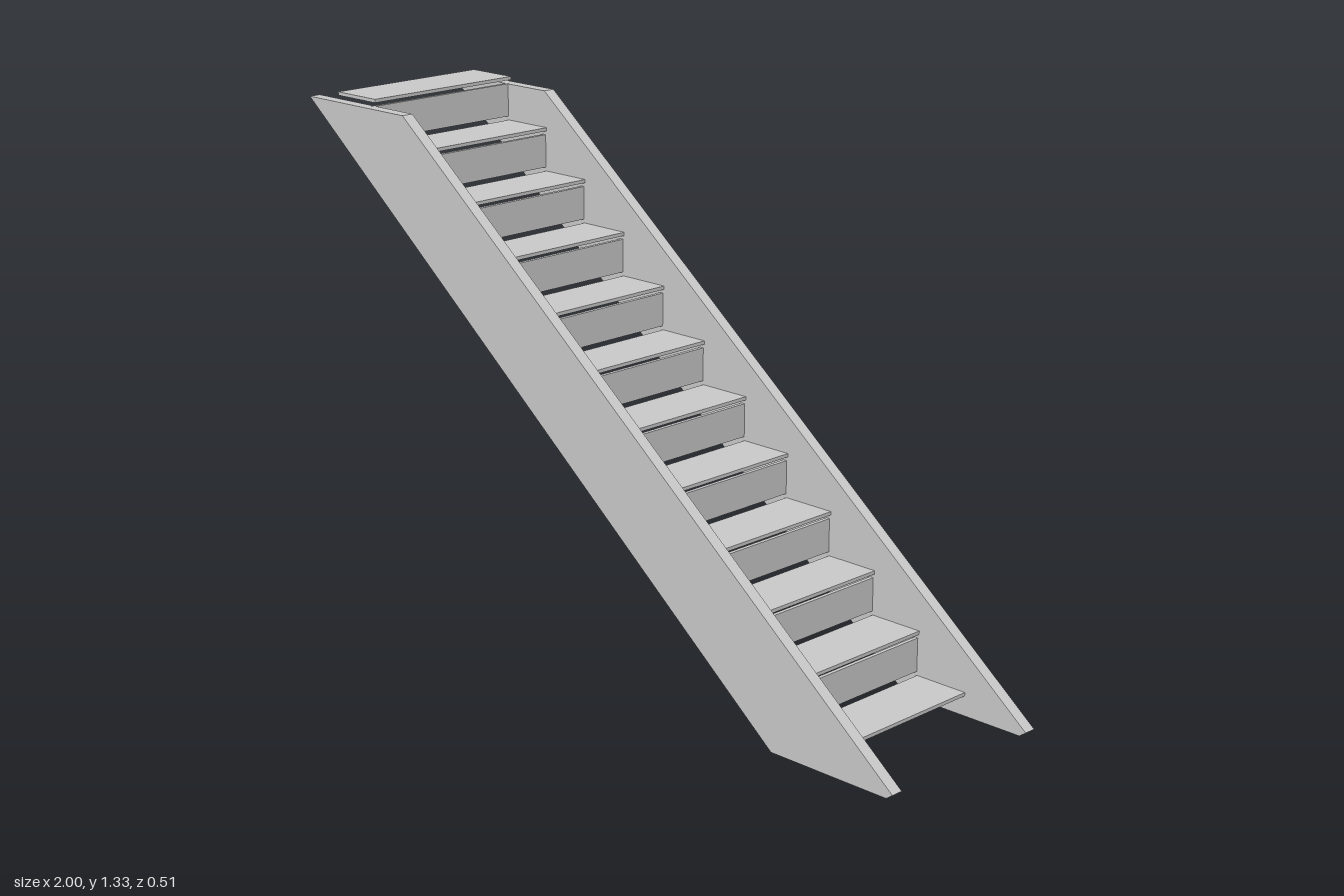
import * as THREE from 'three';

const mat = new THREE.MeshStandardMaterial({ color: 0xcccccc, flatShading: true });

const RISE = 0.1155, RUN = 0.144;        // step pitch
const TREADS = 12, DEPTH = 0.147, WIDTH = 0.46, THICK = 0.009;
const FIRST_NOSE = 0.817, FIRST_TOP = 0.06;
const OUTER = 0.255, BOARD = 0.032;      // side board placement
const GAP = 0.01;                        // open slit above and below each riser

function box(name, w, h, d, x, y) {
  const mesh = new THREE.Mesh(new THREE.BoxGeometry(w, h, d), mat);
  mesh.name = name;
  mesh.position.set(x, y, 0);
  return mesh;
}

export function createModel() {
  const group = new THREE.Group();
  group.name = 'staircase';

  // Sloping side boards, cut level at the floor and the landing
  const outline = new THREE.Shape([
    [-1, 1.311], [0.635, 0], [0.982, 0], [1, 0.013], [-0.63, 1.311],
  ].map(([x, y]) => new THREE.Vector2(x, y)));
  const boardGeo = new THREE.ExtrudeGeometry(outline, { depth: BOARD, bevelEnabled: false });
  for (const [name, z] of [['frontStringer', OUTER - BOARD], ['backStringer', -OUTER]]) {
    const board = new THREE.Mesh(boardGeo, mat);
    board.name = name;
    board.position.z = z;
    group.add(board);
  }

  for (let i = 0; i < TREADS; i++) {
    const nose = FIRST_NOSE - i * RUN;
    const top = FIRST_TOP + i * RISE;
    // Thin treads housed slightly into the side boards
    group.add(box('tread', DEPTH, THICK, WIDTH, nose - DEPTH / 2, top - THICK / 2));

    // Riser standing between this tread and the next one up
    if (i < TREADS - 1) {
      const h = RISE - THICK - 2 * GAP;
      group.add(box('riser', 0.01, h, WIDTH, nose - RUN - 0.009, top + GAP + h / 2));
    }
  }
  return group;
}
